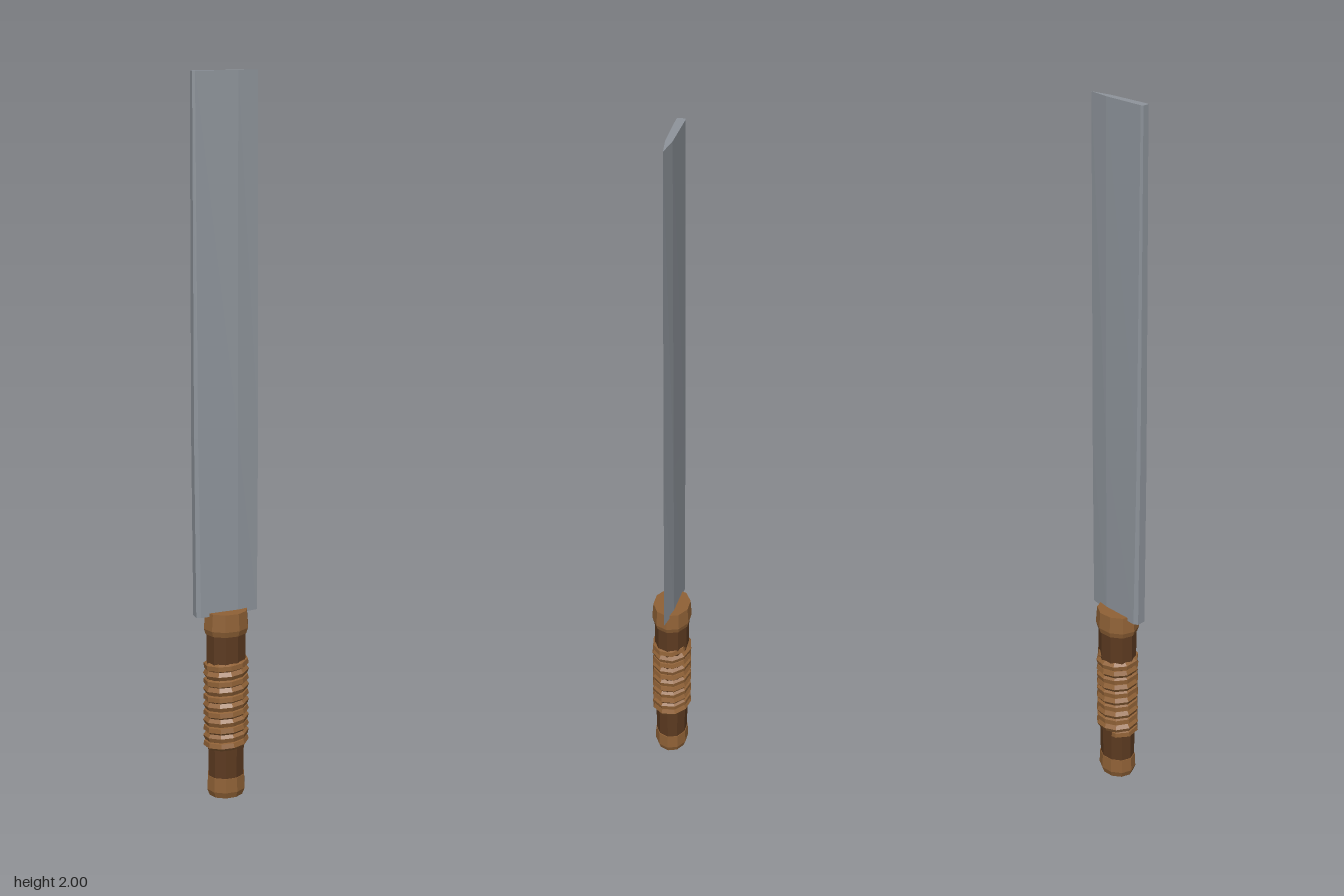
import * as THREE from 'three';

const SIDES = 10;
const DEPTH = 0.86; // the grip is slightly oval

const mat = (name, color) => {
  const m = new THREE.MeshStandardMaterial({ color, flatShading: true });
  m.name = name;
  return m;
};

// Coil that winds up the grip and tucks into it at both ends
class CoilCurve extends THREE.Curve {
  constructor(y0, y1, radius, turns) {
    super();
    Object.assign(this, { y0, y1, radius, turns });
  }
  getPoint(t, target = new THREE.Vector3()) {
    const a = Math.PI / 2 + t * this.turns * Math.PI * 2;
    const end = Math.min(t, 1 - t) * this.turns;
    const r = this.radius - 0.014 * Math.max(0, 1 - end / 0.15);
    return target.set(Math.cos(a) * r, this.y0 + (this.y1 - this.y0) * t, -Math.sin(a) * r * DEPTH);
  }
}

// Blade cross-section: cutting edge at +x, chamfered spine at -x
function bladeSection(y, edge, shoulder, bevel, spine, zBevel, zShoulder, zSpine) {
  return [
    [edge, 0], [bevel, zBevel], [shoulder, zShoulder], [spine, zSpine],
    [spine, -zSpine], [shoulder, -zShoulder], [bevel, -zBevel],
  ].map(([x, z]) => [x, y, z]);
}

function loftBlade(sections) {
  const pos = [];
  const tri = (a, b, c) => pos.push(...a, ...b, ...c);
  const n = sections[0].length;
  for (let s = 0; s < sections.length - 1; s++) {
    const lo = sections[s], hi = sections[s + 1];
    for (let i = 0; i < n; i++) {
      const j = (i + 1) % n;
      tri(lo[i], hi[j], lo[j]);
      tri(lo[i], hi[i], hi[j]);
    }
  }
  const bottom = sections[0], top = sections[sections.length - 1];
  for (let i = 1; i < n - 1; i++) {
    tri(bottom[0], bottom[i], bottom[i + 1]);
    tri(top[0], top[i + 1], top[i]);
  }
  const g = new THREE.BufferGeometry();
  g.setAttribute('position', new THREE.Float32BufferAttribute(pos, 3));
  g.computeVertexNormals();
  return g;
}

export function createModel() {
  const group = new THREE.Group();
  const steel = mat('steel', 0x8e949b);
  const lightWood = mat('light leather', 0x8f6136);
  const darkWood = mat('dark leather', 0x5c3a20);

  const add = (name, geometry, material) => {
    const mesh = new THREE.Mesh(geometry, material);
    mesh.name = name;
    group.add(mesh);
    return mesh;
  };
  // Ten-sided turned part with a corner on the x axis
  const turned = (name, profile, material) => {
    const pts = profile.map(([r, y]) => new THREE.Vector2(r, y));
    const g = new THREE.LatheGeometry(pts, SIDES, Math.PI / 2);
    g.scale(1, 1, DEPTH);
    return add(name, g, material);
  };

  // Handle
  turned('pommel', [[0, 0], [0.049, 0], [0.056, 0.018], [0.054, 0.06], [0, 0.06]], lightWood);
  turned('lowerGrip', [[0, 0.058], [0.052, 0.058], [0.053, 0.15], [0, 0.15]], darkWood);
  turned('gripCore', [[0, 0.14], [0.054, 0.14], [0.056, 0.42], [0, 0.42]], darkWood);
  turned('upperGrip', [[0, 0.4], [0.057, 0.4], [0.057, 0.482], [0, 0.482]], darkWood);
  turned('collar', [[0, 0.48], [0.06, 0.48], [0.065, 0.496], [0.061, 0.545], [0, 0.545]], lightWood);

  // Cord wrapped round the middle of the grip
  const turns = 11;
  const coil = new CoilCurve(0.148, 0.402, 0.0515, turns);
  add('gripWrap', new THREE.TubeGeometry(coil, turns * SIDES, 0.0135, 6), lightWood);

  // Blade, thinning towards its square tip
  add('blade', loftBlade([
    bladeSection(0.535, 0.091, -0.079, 0.03, -0.091, 0.0135, 0.019, 0.013),
    bladeSection(1.04, 0.092, -0.085, 0.03, -0.095, 0.012, 0.016, 0.012),
    bladeSection(2.0, 0.088, -0.088, 0.03, -0.095, 0.009, 0.0115, 0.009),
  ]), steel);

  return group;
}
